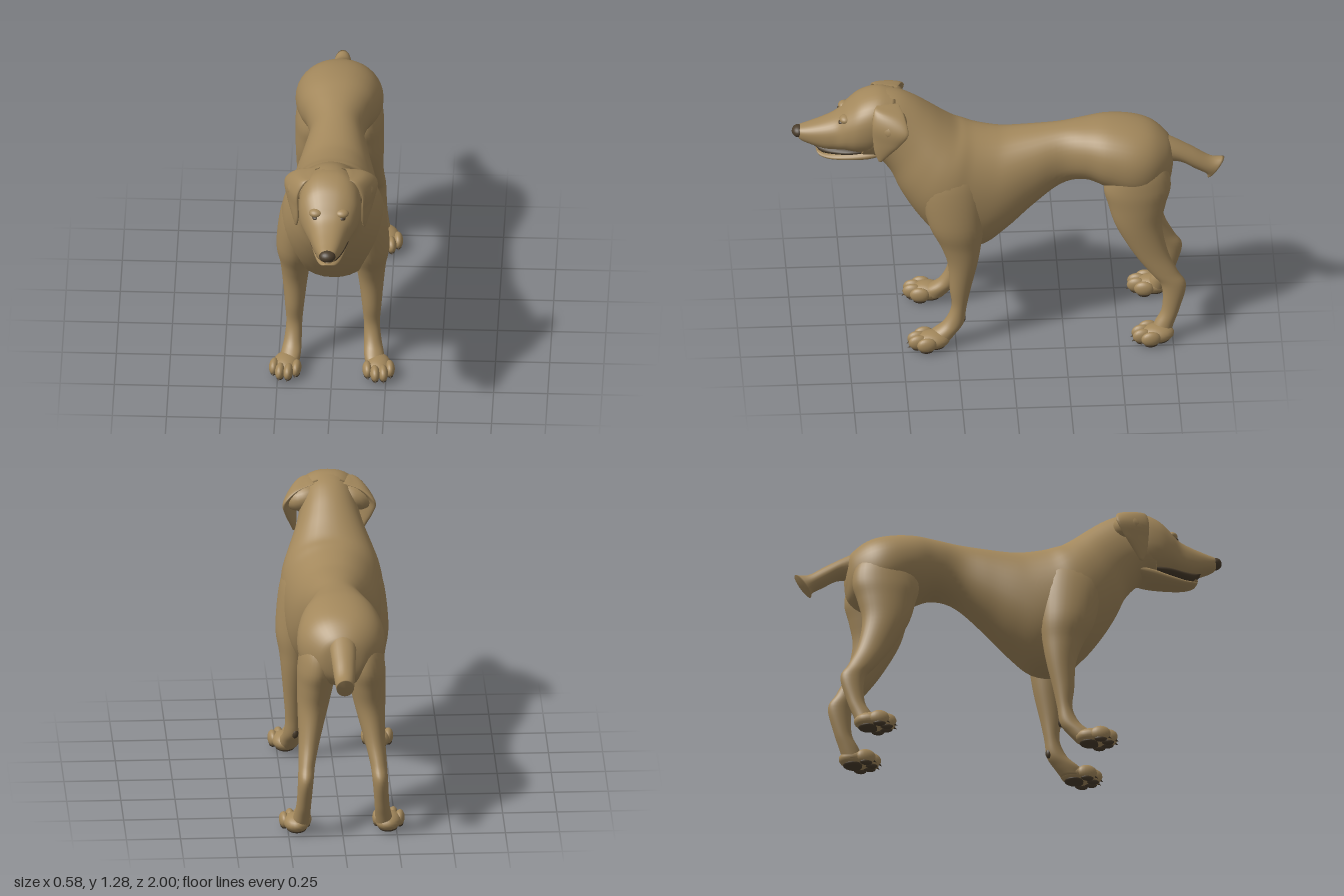
import * as THREE from 'three';

const V = (x, y, z) => new THREE.Vector3(x, y, z);
const bend = (t, e) => Math.sign(t) * Math.abs(t) ** e;

// Smooth closed skin through oval sections {c: centre, u, v: half axes};
// a roundness below 1 makes the ovals squarer
function loft(sections, seg = 32, roundness = 1, sub = 5) {
  const curves = ['c', 'u', 'v'].map(k =>
    new THREE.CatmullRomCurve3(sections.map(s => s[k]), false, 'catmullrom', 0.5));
  const rows = (sections.length - 1) * sub, pos = [], idx = [];
  for (let i = 0; i <= rows; i++) {
    const [c, u, v] = curves.map(k => k.getPoint(i / rows));
    for (let j = 0; j < seg; j++) {
      const a = (j / seg) * Math.PI * 2;
      const p = c.clone().addScaledVector(u, bend(Math.cos(a), roundness))
        .addScaledVector(v, bend(Math.sin(a), roundness));
      pos.push(p.x, p.y, p.z);
    }
  }
  const at = (i, j) => i * seg + (j % seg);
  const first = pos.length / 3, last = first + 1;
  for (const s of [sections[0], sections[sections.length - 1]]) pos.push(s.c.x, s.c.y, s.c.z);
  for (let j = 0; j < seg; j++) {
    for (let i = 0; i < rows; i++) {
      idx.push(at(i, j), at(i, j + 1), at(i + 1, j), at(i, j + 1), at(i + 1, j + 1), at(i + 1, j));
    }
    idx.push(first, at(0, j + 1), at(0, j), last, at(rows, j), at(rows, j + 1));
  }
  // Turn the faces outward when the enclosed volume comes out negative
  const p = i => V(pos[3 * i], pos[3 * i + 1], pos[3 * i + 2]);
  let volume = 0;
  for (let t = 0; t < idx.length; t += 3) volume += p(idx[t]).dot(p(idx[t + 1]).cross(p(idx[t + 2])));
  if (volume < 0) idx.reverse();
  const g = new THREE.BufferGeometry();
  g.setAttribute('position', new THREE.Float32BufferAttribute(pos, 3));
  g.setIndex(idx);
  g.computeVertexNormals();
  return g;
}

// Section across the body: top (z, y), bottom (z, y), half width
const across = ([zt, yt, zb, yb, w]) => ({
  c: V(0, (yt + yb) / 2, (zt + zb) / 2), u: V(w, 0, 0), v: V(0, (yt - yb) / 2, (zt - zb) / 2),
});
// Level section of a leg: height, x, front z, back z, half width
const level = side => ([y, x, zf, zb, w]) => ({
  c: V(side * x, y, (zf + zb) / 2), u: V(w, 0, 0), v: V(0, 0, (zf - zb) / 2),
});
// Thin ear section between a front and a back point
const earSection = side => ([xf, yf, zf, xb, yb, zb, t]) => {
  const f = V(side * xf, yf, zf), b = V(side * xb, yb, zb);
  const u = b.clone().sub(f).multiplyScalar(0.5);
  return { c: f.add(b).multiplyScalar(0.5), u, v: V(-u.z, 0, u.x).normalize().multiplyScalar(t) };
};

export function createModel() {
  const coat = new THREE.MeshStandardMaterial({ color: 0xa3885c });
  coat.name = 'coat';
  const dark = new THREE.MeshStandardMaterial({ color: 0x4a3d2c });
  dark.name = 'dark skin';
  const root = new THREE.Group();
  root.name = 'dog';

  const add = (name, geometry, parent = root, material = coat) => {
    const m = new THREE.Mesh(geometry, material);
    m.name = name;
    parent.add(m);
    return m;
  };
  const ball = (name, p, r, parent = root, material = coat) => {
    const m = add(name, new THREE.SphereGeometry(1, 20, 14), parent, material);
    m.position.set(...p);
    m.scale.set(...r);
    return m;
  };

  // Trunk, neck and rear of the skull in one skin
  add('body', loft([
    [-0.76, 0.93, -0.76, 0.84, 0.04],
    [-0.74, 0.98, -0.737, 0.76, 0.11],
    [-0.67, 1.04, -0.66, 0.71, 0.178],
    [-0.58, 1.07, -0.57, 0.71, 0.203],
    [-0.46, 1.083, -0.45, 0.76, 0.185],
    [-0.35, 1.075, -0.35, 0.795, 0.148],
    [-0.24, 1.063, -0.24, 0.765, 0.126],
    [-0.12, 1.05, -0.11, 0.66, 0.155],
    [0, 1.04, 0.01, 0.545, 0.19],
    [0.07, 1.045, 0.13, 0.457, 0.212],
    [0.15, 1.06, 0.26, 0.465, 0.23],
    [0.2, 1.075, 0.36, 0.555, 0.238],
    [0.24, 1.09, 0.44, 0.66, 0.228],
    [0.29, 1.125, 0.505, 0.77, 0.2],
    [0.36, 1.18, 0.55, 0.87, 0.165],
    [0.43, 1.23, 0.6, 0.93, 0.143],
    [0.5, 1.265, 0.64, 0.95, 0.136],
    [0.57, 1.278, 0.67, 0.955, 0.138],
    [0.62, 1.272, 0.69, 0.96, 0.135],
  ].map(across), 40, 0.93));

  // Skull front and muzzle
  add('head', loft([
    [0.52, 1.268, 0.61, 0.975, 0.13],
    [0.6, 1.281, 0.67, 0.975, 0.143],
    [0.68, 1.257, 0.715, 0.982, 0.138],
    [0.74, 1.21, 0.76, 0.99, 0.117],
    [0.79, 1.163, 0.805, 0.988, 0.092],
    [0.85, 1.135, 0.85, 0.99, 0.076],
    [0.92, 1.112, 0.905, 1.008, 0.057],
    [0.97, 1.097, 0.955, 1.03, 0.038],
    [0.985, 1.08, 0.975, 1.05, 0.018],
  ].map(across), 36, 0.85));

  // Slightly open mouth: lower jaw, dark lips and tongue
  add('lowerJaw', loft([
    [0.56, 1.02, 0.58, 0.96, 0.09],
    [0.65, 1.01, 0.65, 0.94, 0.095],
    [0.74, 0.985, 0.74, 0.933, 0.078],
    [0.82, 0.968, 0.82, 0.933, 0.056],
    [0.87, 0.968, 0.865, 0.943, 0.036],
    [0.887, 0.968, 0.882, 0.958, 0.016],
  ].map(across), 24));
  add('lips', loft([
    [0.66, 1.02, 0.66, 0.975, 0.085],
    [0.74, 1.016, 0.74, 0.968, 0.088],
    [0.82, 1.01, 0.82, 0.963, 0.062],
    [0.87, 1.012, 0.86, 0.965, 0.042],
    [0.91, 1.02, 0.88, 0.985, 0.024],
  ].map(across), 24), root, dark);
  ball('tongue', [0, 0.978, 0.845], [0.026, 0.01, 0.045]);
  ball('nose', [0, 1.073, 0.968], [0.038, 0.028, 0.032], root, dark);

  // Tail, cut off at a flared tip
  add('tail', loft([
    [-0.64, 1.03, -0.64, 0.85, 0.075],
    [-0.75, 0.975, -0.78, 0.858, 0.06],
    [-0.85, 0.918, -0.865, 0.812, 0.052],
    [-0.935, 0.866, -0.913, 0.782, 0.045],
    [-0.998, 0.862, -0.92, 0.757, 0.04],
  ].map(across), 24));

  // Foot with four toes, claws and pads underneath, pointing along +z
  const paw = (name, side, z) => {
    const g = new THREE.Group();
    g.name = name;
    g.position.set(side * 0.205, 0, z);
    g.rotation.y = side * 0.1;
    root.add(g);
    ball('foot', [0, 0.045, 0.07], [0.06, 0.042, 0.08], g);
    ball('heelPad', [0, 0.017, 0.06], [0.045, 0.017, 0.05], g, dark);
    [-0.052, -0.019, 0.019, 0.052].forEach((x, i) => {
      const reach = i % 3 ? 0.14 : 0.105;
      ball('toe', [x, 0.046, reach], [0.023, 0.036, 0.046], g);
      ball('toePad', [x, 0.018, reach], [0.017, 0.014, 0.03], g, dark);
      const claw = add('claw', new THREE.ConeGeometry(0.01, 0.03, 8), g, dark);
      claw.position.set(x, 0.028, reach + 0.038);
      claw.rotation.x = 2.1;
    });
  };

  for (const side of [1, -1]) {
    const label = side > 0 ? 'left' : 'right';

    // Hanging ear and the fold that joins it to the skull
    add(label + 'Ear', loft([
      [0.07, 1.258, 0.6, 0.07, 1.25, 0.51, 0.02],
      [0.115, 1.245, 0.625, 0.155, 1.222, 0.485, 0.024],
      [0.148, 1.18, 0.636, 0.21, 1.165, 0.472, 0.018],
      [0.148, 1.1, 0.632, 0.2, 1.1, 0.51, 0.015],
      [0.148, 1.04, 0.625, 0.178, 1.04, 0.555, 0.012],
      [0.155, 0.993, 0.607, 0.16, 0.993, 0.59, 0.006],
    ].map(earSection(side)), 24));
    const fold = ball(label + 'EarFold', [side * 0.115, 1.175, 0.545], [0.09, 0.06, 0.072]);
    fold.rotation.z = side * -0.35;

    // Eye under a soft brow
    ball(label + 'Brow', [side * 0.06, 1.168, 0.755], [0.032, 0.02, 0.028]);
    ball(label + 'Eye', [side * 0.06, 1.152, 0.772], [0.017, 0.01, 0.016], root, dark);

    // Front leg, from shoulder to instep
    add(label + 'FrontLeg', loft([
      [1.0, 0.1, 0.35, 0.19, 0.06],
      [0.88, 0.145, 0.42, 0.13, 0.088],
      [0.66, 0.165, 0.38, 0.12, 0.096],
      [0.53, 0.173, 0.32, 0.135, 0.071],
      [0.43, 0.176, 0.288, 0.152, 0.058],
      [0.3, 0.178, 0.28, 0.182, 0.045],
      [0.2, 0.179, 0.272, 0.202, 0.037],
      [0.12, 0.184, 0.31, 0.214, 0.04],
      [0.07, 0.192, 0.375, 0.25, 0.046],
      [0.03, 0.2, 0.39, 0.285, 0.045],
    ].map(level(side))));
    ball(label + 'Dewclaw', [side * 0.172, 0.13, 0.222], [0.016, 0.024, 0.016], root, dark);
    paw(label + 'FrontPaw', side, 0.29);

    // Hind leg, from thigh over hock to foot
    add(label + 'HindLeg', loft([
      [0.99, 0.07, -0.52, -0.66, 0.05],
      [0.89, 0.1, -0.46, -0.725, 0.082],
      [0.79, 0.112, -0.435, -0.745, 0.09],
      [0.7, 0.12, -0.455, -0.722, 0.084],
      [0.59, 0.132, -0.49, -0.703, 0.071],
      [0.45, 0.15, -0.57, -0.73, 0.05],
      [0.35, 0.165, -0.645, -0.775, 0.039],
      [0.28, 0.172, -0.698, -0.812, 0.036],
      [0.16, 0.18, -0.7, -0.782, 0.034],
      [0.09, 0.188, -0.665, -0.757, 0.038],
      [0.03, 0.198, -0.64, -0.735, 0.042],
    ].map(level(side))));
    paw(label + 'HindPaw', side, -0.745);
  }
  return root;
}
